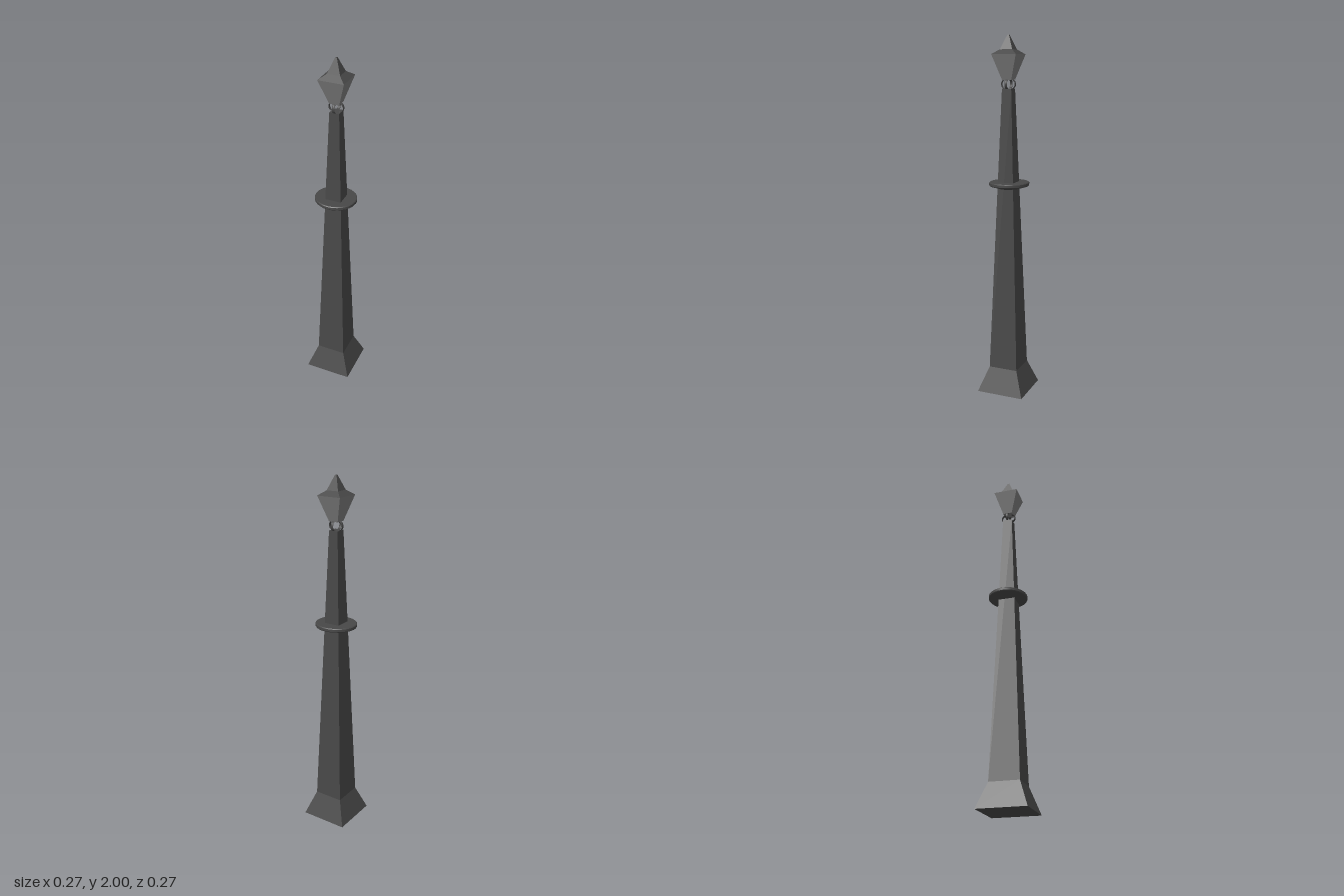
import * as THREE from 'three';
import { toCreasedNormals } from 'three/addons/utils/BufferGeometryUtils.js';

export function createModel() {
  const group = new THREE.Group();
  const iron = new THREE.MeshStandardMaterial({ color: 0x484848 });
  iron.name = 'dark iron';
  const glass = new THREE.MeshStandardMaterial({ color: 0x7c7c7c });
  glass.name = 'grey glass';

  function add(name, geometry, material, parent = group) {
    const mesh = new THREE.Mesh(geometry, material);
    mesh.name = name;
    parent.add(mesh);
    return mesh;
  }

  // Square frustum given half widths at heights y0 and y1
  function frustum(name, half0, y0, half1, y1, material, open = false) {
    const g = new THREE.CylinderGeometry(half1 * Math.SQRT2, half0 * Math.SQRT2, y1 - y0, 4, 1, open)
      .rotateY(Math.PI / 4)
      .translate(0, (y0 + y1) / 2, 0);
    return add(name, toCreasedNormals(g, 0.1), material);
  }

  // Flared foot and tapering post
  frustum('foot', 0.135, 0, 0.083, 0.14, iron);
  frustum('post', 0.083, 0.14, 0.027, 1.72, iron);

  // Round collar with a sloping underside
  const profile = [[0, 1.178], [0.06, 1.178], [0.113, 1.193], [0.116, 1.197], [0.116, 1.21], [0.112, 1.214], [0, 1.214]]
    .map(([r, y]) => new THREE.Vector2(r, y));
  const collar = add('collar', toCreasedNormals(new THREE.LatheGeometry(profile, 28), 0.6), iron);
  collar.scale.z = 0.95;
  collar.position.set(-0.003, 0, -0.003);

  // Four bowed brackets carrying the lantern
  const brackets = new THREE.Group();
  brackets.name = 'brackets';
  brackets.position.y = 1.744;
  group.add(brackets);
  for (let i = 0; i < 4; i++) {
    const g = new THREE.TorusGeometry(0.024, 0.003, 6, 14, Math.PI)
      .rotateZ(-Math.PI / 2)
      .scale(0.9, 1, 2.6)
      .translate(0.018, 0, 0);
    add('bracket', g, iron, brackets).rotation.y = i * Math.PI / 2;
  }

  // Lantern glass and the two-stage roof with its blunt tip
  frustum('lanternGlass', 0.027, 1.767, 0.07, 1.9, glass);
  frustum('roofEaves', 0.07, 1.9, 0.035, 1.925, iron);
  frustum('roofSpire', 0.035, 1.925, 0.005, 2, iron);

  return group;
}
